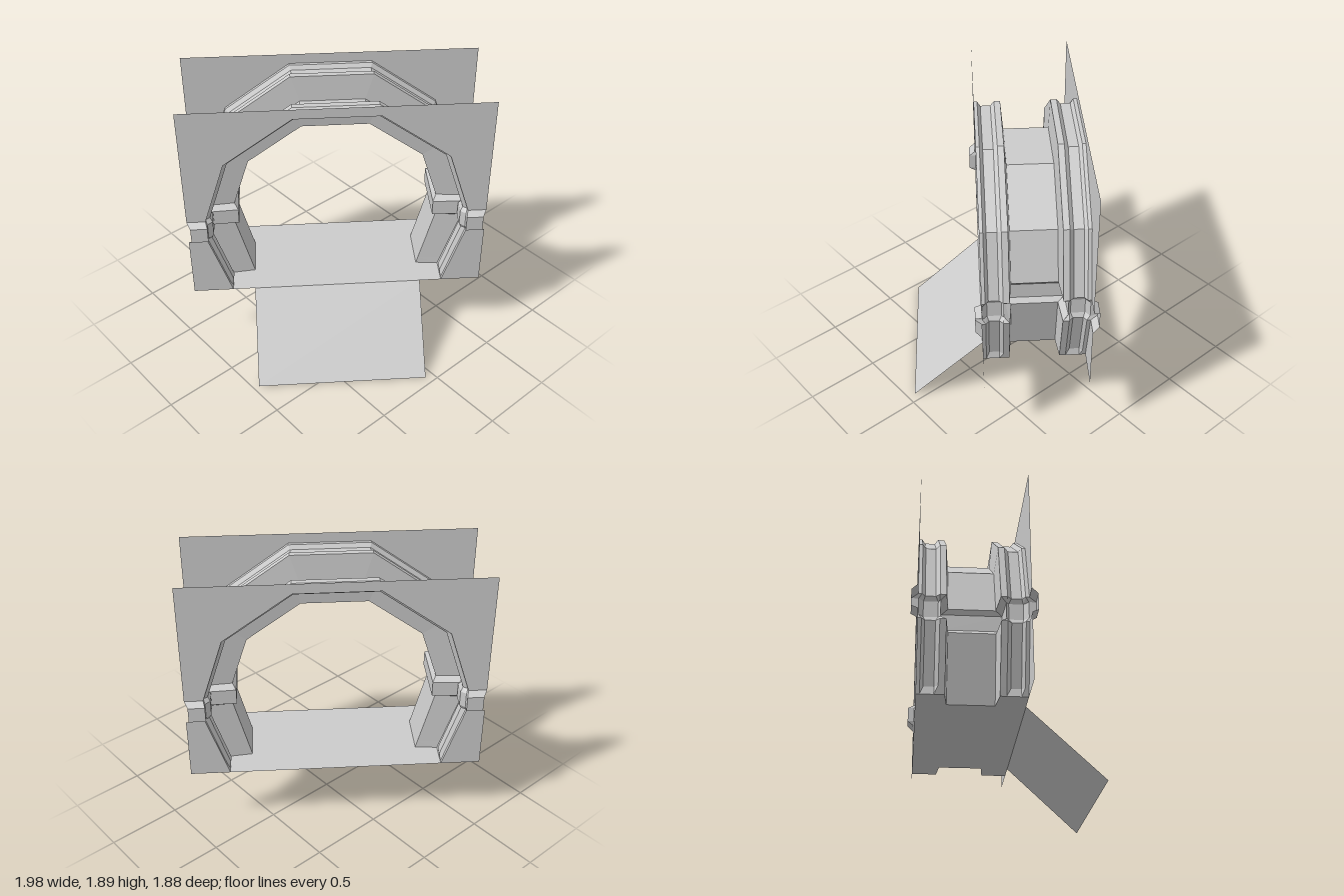
import * as THREE from 'three';

const FLOOR = 0.46, MID = 0.98, TOP = 1.89, HALF_W = 0.981, WALL_Z = 0.338;

// Half cross-section of the arch, [radius, z], from the wall edge to the tunnel lining
const PROFILE = [
  [HALF_W, WALL_Z], [0.885, WALL_Z], [0.885, 0.315], [0.857, 0.295],
  [0.857, 0.23], [0.885, 0.205], [0.885, 0.165], [0.7, 0.149],
];
// The same section pushed inward where the belt runs round it
const BELT = [
  [0.958, 0.38], [0.848, 0.38], [0.848, 0.335], [0.815, 0.305],
  [0.815, 0.215], [0.825, 0.207], [0.83, 0.2], [0.65, 0.19],
];

const mirrorZ = (half) => [...half, ...half.map(([r, z]) => [r, -z]).reverse()];
const lerp = THREE.MathUtils.lerp;

// Point on a ten-sided arch of radius r
function corner(r, deg) {
  const a = THREE.MathUtils.degToRad(deg);
  return [r * Math.cos(a), MID + r * Math.sin(a)];
}

// One row of the sheet: place(r) gives [x, y], outer is the wall edge [x, y]
function row(place, outer, section = PROFILE) {
  const pts = mirrorZ(section);
  return pts.map(([r, z], i) => {
    const [x, y] = i === 0 || i === pts.length - 1 ? outer : place(r);
    return new THREE.Vector3(x, y, z);
  });
}

// Rows from the foot up to the crown, then mirrored down the other side
function buildRows() {
  const foot = (t) => (r) => [lerp(0.809 * r, r, t), lerp(FLOOR, MID, t)];
  const legRow = (y, section) =>
    row(foot((y - FLOOR) / (MID - FLOOR)), [HALF_W, y], section);
  const flatFoot = PROFILE.map(([r, z]) => [r === 0.857 ? 0.885 : r, z]);
  const beltRow = (y) => row((r) => [r, y], [BELT[0][0], y], BELT);
  const between = (r) => {
    const a = corner(r, 36), b = corner(r, 72);
    return [(a[0] + b[0]) / 2, (a[1] + b[1]) / 2];
  };
  const half = [
    legRow(FLOOR, flatFoot),
    legRow(0.512),
    legRow(0.895),
    beltRow(0.925),
    beltRow(1.032),
    row((r) => [r - 0.026, 1.06], [HALF_W, 1.06]),
    row((r) => corner(r, 36), [HALF_W, 1.5]),
    row(between, [HALF_W, TOP]),
    row((r) => corner(r, 72), [0.273, TOP]),
  ];
  const other = half.map((rw) => rw.map((p) => new THREE.Vector3(-p.x, p.y, p.z))).reverse();
  return [...half, ...other];
}

const material = new THREE.MeshStandardMaterial({
  color: 0xcccccc, flatShading: true, side: THREE.DoubleSide,
});

// Flat-shaded sheet over columns from..to of the rows
function sheet(name, rows, from, to) {
  const tri = [];
  for (let i = 0; i < rows.length - 1; i++) {
    for (let j = from; j < to; j++) {
      const a = rows[i][j], b = rows[i][j + 1], c = rows[i + 1][j + 1], d = rows[i + 1][j];
      tri.push(a, b, c, a, c, d);
    }
  }
  const geo = new THREE.BufferGeometry().setFromPoints(tri);
  geo.computeVertexNormals();
  const mesh = new THREE.Mesh(geo, material);
  mesh.name = name;
  return mesh;
}

export function createModel() {
  const gate = new THREE.Group();
  gate.name = 'archway';

  // Walls, ribbed trim and tunnel lining, with the belt formed into each
  const rows = buildRows();
  gate.add(
    sheet('frontWall', rows, 0, 1),
    sheet('frontArchTrim', rows, 1, 7),
    sheet('tunnelLining', rows, 7, 8),
    sheet('backArchTrim', rows, 8, 14),
    sheet('backWall', rows, 14, 15),
  );

  // Floor fills the footprint between the two legs
  const right = rows[0].slice(1, -1), left = rows[rows.length - 1].slice(1, -1);
  gate.add(sheet('floor', [left, right], 0, right.length - 1));

  // Ramp down from the front edge of the floor
  const edge = (y, z) => [-0.568, 0.568].map((x) => new THREE.Vector3(x, y, z));
  gate.add(sheet('ramp', [edge(0, 0.818), edge(FLOOR, WALL_Z)], 0, 1));

  // The archway stands turned on its base
  gate.rotation.y = -0.651;
  gate.position.set(-0.015, 0, -0.049);

  const model = new THREE.Group();
  model.add(gate);
  return model;
}
